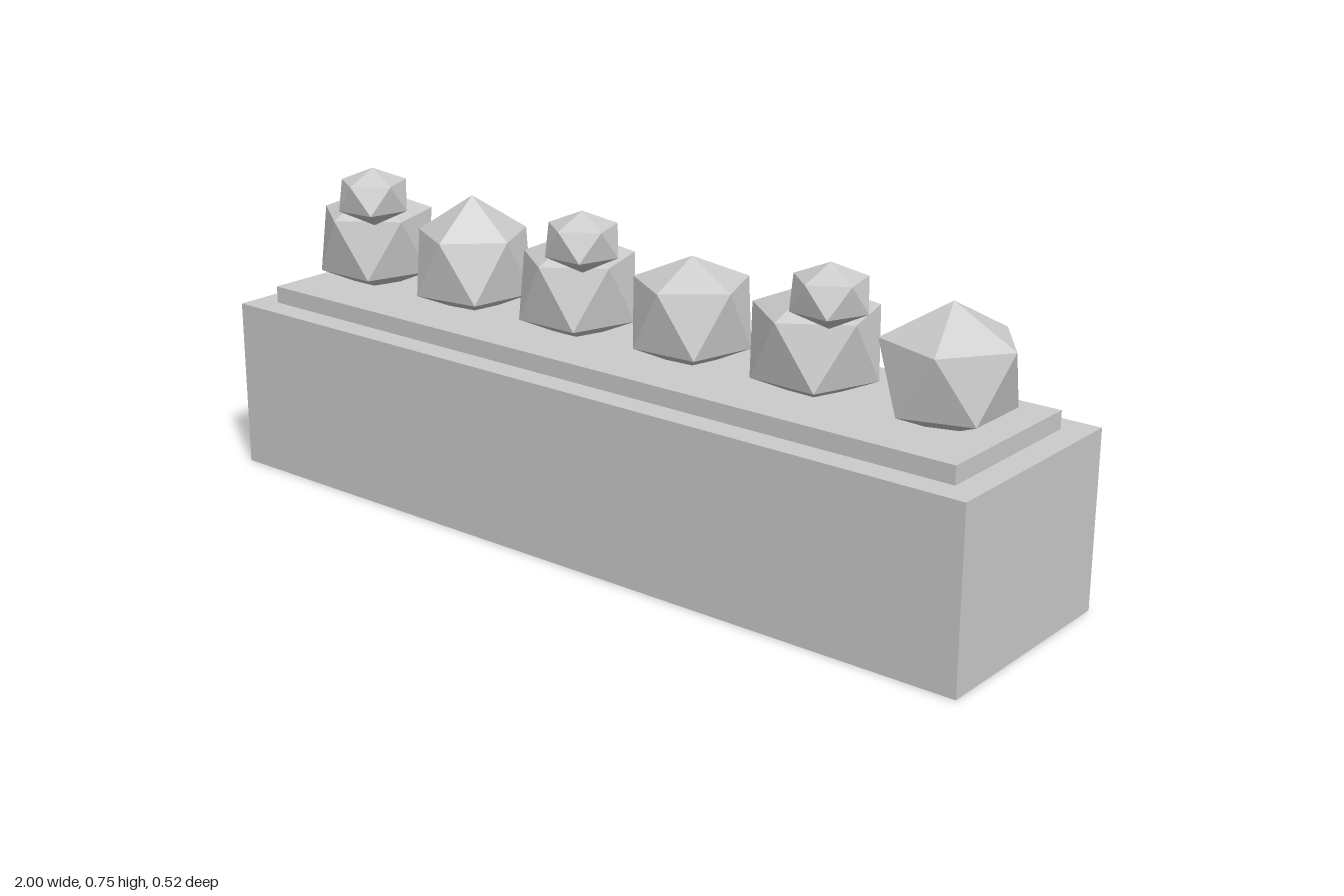
import * as THREE from 'three';

const material = new THREE.MeshStandardMaterial({ color: 0xcccccc, flatShading: true });

function addBox(group, name, w, h, d, y) {
  const mesh = new THREE.Mesh(new THREE.BoxGeometry(w, h, d), material);
  mesh.name = name;
  mesh.position.y = y;
  group.add(mesh);
}

// Twenty-sided clump: two staggered rings of five between a top and a bottom point.
// Heights are relative to the clump centre; angle (degrees) aims the first upper corner, 0 = +x, 90 = +z.
function clumpGeometry({ top, bottom, upperY, lowerY, upperR, lowerR, angle }) {
  const ring = (radius, y, offset) => Array.from({ length: 5 }, (_, i) => {
    const a = THREE.MathUtils.degToRad(angle + offset + i * 72);
    return [radius * Math.cos(a), y, radius * Math.sin(a)];
  });
  const upper = ring(upperR, upperY, 0);
  const lower = ring(lowerR, lowerY, 36);
  const apex = [0, top, 0], base = [0, bottom, 0];
  const points = [];
  for (let i = 0; i < 5; i++) {
    const j = (i + 1) % 5;
    points.push(...apex, ...upper[j], ...upper[i]);
    points.push(...upper[i], ...upper[j], ...lower[i]);
    points.push(...lower[i], ...upper[j], ...lower[j]);
    points.push(...base, ...lower[i], ...lower[j]);
  }
  const geometry = new THREE.BufferGeometry();
  geometry.setAttribute('position', new THREE.Float32BufferAttribute(points, 3));
  geometry.computeVertexNormals();
  return geometry;
}

function addClump(group, name, x, y, z, shape) {
  const mesh = new THREE.Mesh(clumpGeometry(shape), material);
  mesh.name = name;
  mesh.position.set(x, y, z);
  group.add(mesh);
}

export function createModel() {
  const group = new THREE.Group();
  group.name = 'planter';

  // Trough and the raised soil bed
  addBox(group, 'trough', 2, 0.4, 0.52, 0.2);
  addBox(group, 'soil', 1.88, 0.08, 0.4, 0.4);

  // Row of six shrubs: apex height, upper and lower ring radius, turn
  const shrubs = [
    [0.125, 0.135, 0.135, 90],
    [0.157, 0.13, 0.138, 82],
    [0.125, 0.13, 0.135, 90],
    [0.125, 0.13, 0.132, 86],
    [0.127, 0.138, 0.138, 92],
    [0.147, 0.143, 0.135, 0],
  ];
  shrubs.forEach(([top, upperR, lowerR, angle], i) => {
    addClump(group, 'shrub', -0.8 + i * 0.32, 0.54, 0, {
      top, bottom: -0.125, upperY: 0.07, lowerY: -0.068, upperR, lowerR, angle,
    });
  });

  // Small blossoms in front of every second shrub
  [-0.7, -0.06, 0.58].forEach((x, i) => {
    addClump(group, 'blossom', x, 0.68, 0.1, {
      top: 0.067, bottom: -0.07, upperY: 0.035, lowerY: -0.03,
      upperR: 0.078, lowerR: 0.082, angle: 90 + (i - 1) * 5,
    });
  });

  return group;
}
